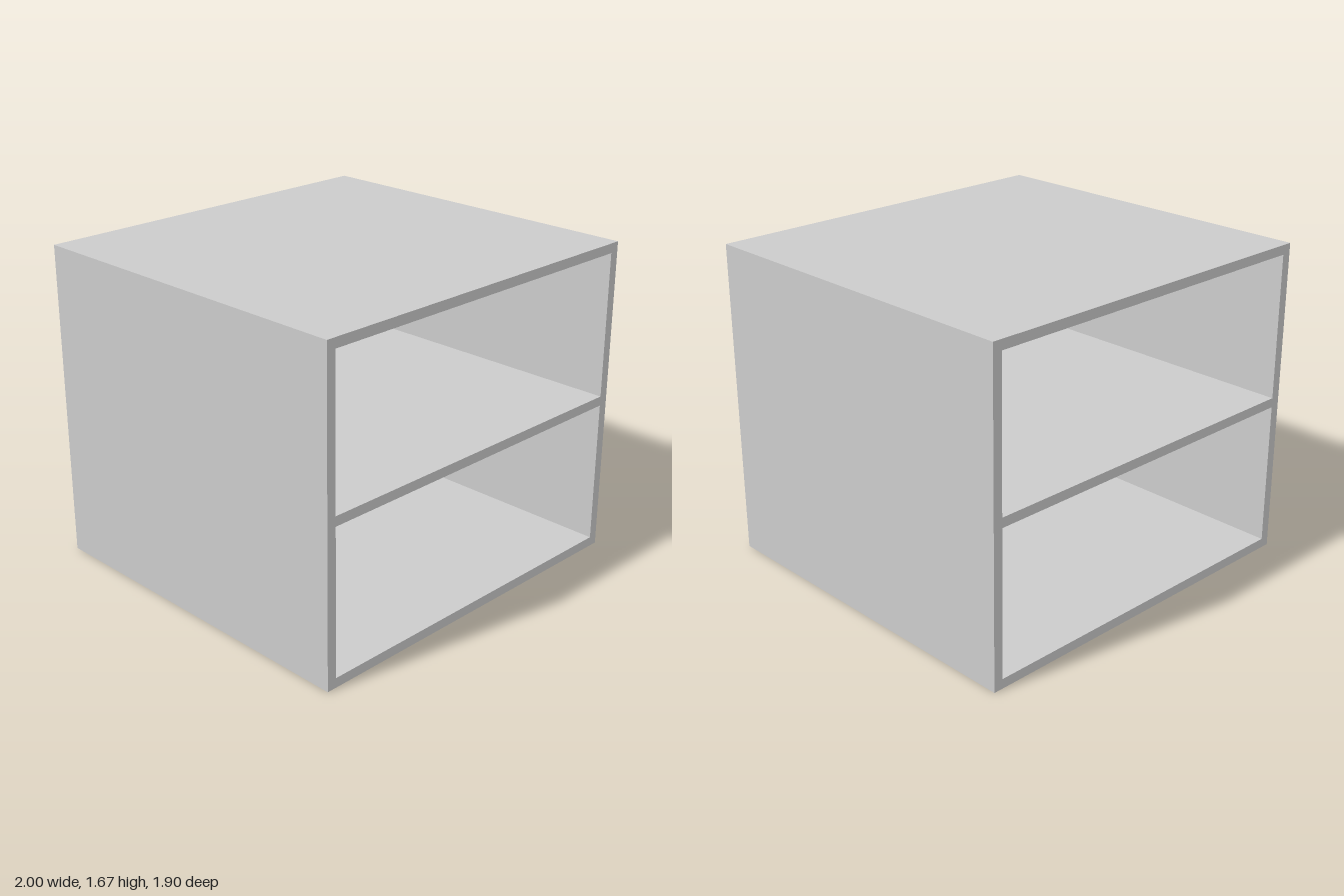
import * as THREE from 'three';

export function createModel() {
  const model = new THREE.Group();
  const material = new THREE.MeshStandardMaterial({ color: 0xcccccc });
  const width = 2, depth = 1.898, height = 1.667, board = 0.05;
  const sideHeight = height - board;

  // A board spanning the full depth, placed by its bottom edge
  const addBoard = (name, w, h, x, y) => {
    const mesh = new THREE.Mesh(new THREE.BoxGeometry(w, h, depth), material);
    mesh.name = name;
    mesh.position.set(x, y + h / 2, 0);
    model.add(mesh);
  };

  // Top rests on the two side panels
  addBoard('topPanel', width, board, 0, sideHeight);
  for (const [name, s] of [['leftPanel', 1], ['rightPanel', -1]]) {
    addBoard(name, board, sideHeight, s * (width - board) / 2, 0);
  }

  // Bottom and middle shelf fit between the sides; front and back stay open
  const inner = width - 2 * board;
  addBoard('bottomPanel', inner, board, 0, 0);
  addBoard('middleShelf', inner, board, 0, 0.808);

  return model;
}
